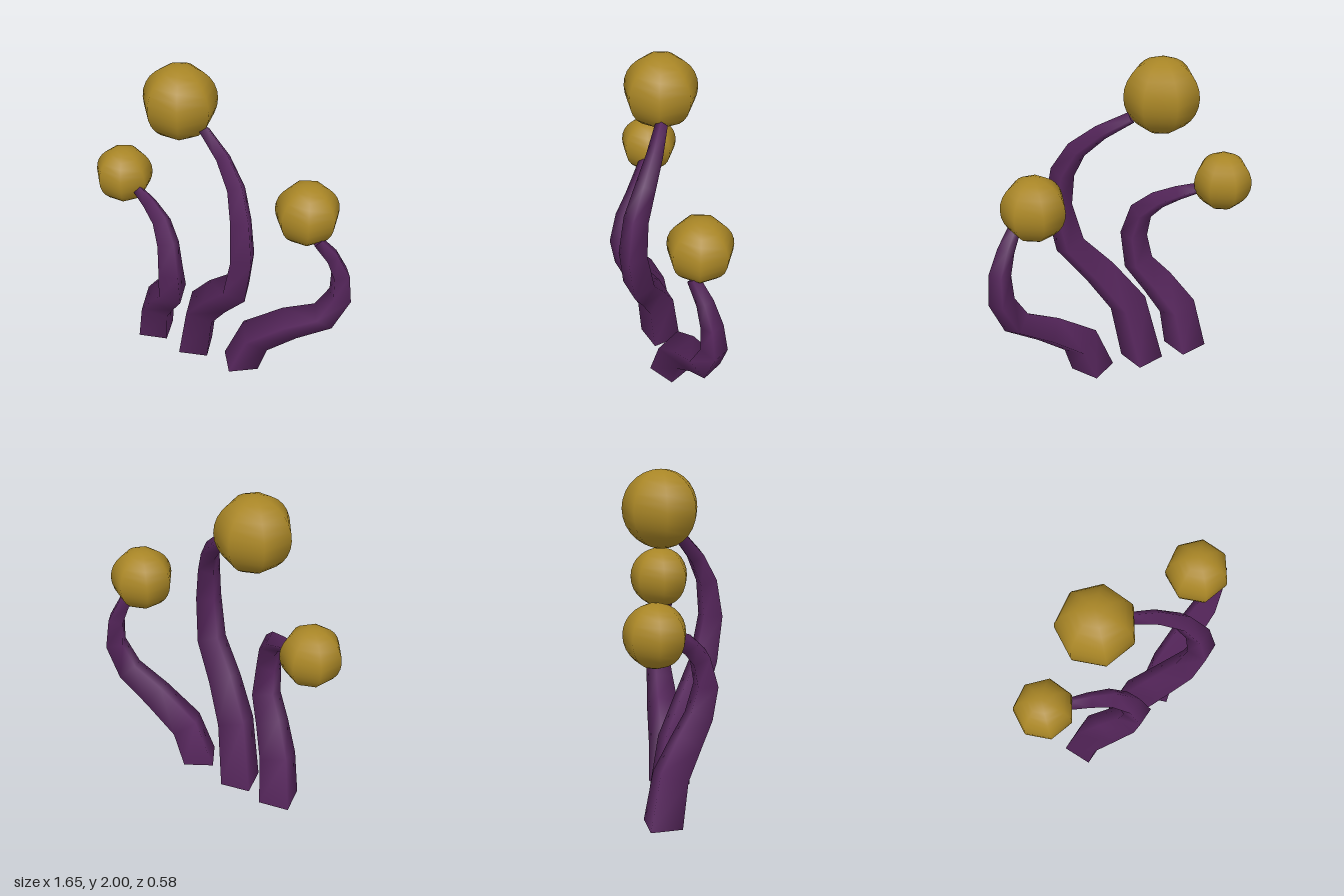
import * as THREE from 'three';

const stalkMat = new THREE.MeshStandardMaterial({ color: 0x56265c });
stalkMat.name = 'purple stalk';
const bulbMat = new THREE.MeshStandardMaterial({ color: 0xa98626 });
bulbMat.name = 'ochre bulb';

// Path points run from base to tip; turn is the direction the wide base face looks.
const SPROUTS = [
  {
    name: 'tall', turn: 18, bulb: [-0.255, 1.785, -0.05], r: 0.215,
    path: [[-0.167, 0.005, -0.03], [-0.09, 0.4, 0.02], [0.06, 0.61, 0.1], [0.225, 0.8, 0.175], [0.28, 1.07, 0.215],
      [0.255, 1.29, 0.19], [0.19, 1.45, 0.125], [0.07, 1.57, 0.05], [-0.085, 1.665, -0.02]],
  },
  {
    name: 'right', turn: 17, bulb: [-0.66, 1.18, -0.055], r: 0.173,
    path: [[-0.465, 0.025, -0.03], [-0.42, 0.3, 0.01], [-0.315, 0.46, 0.09], [-0.215, 0.59, 0.16], [-0.198, 0.775, 0.2],
      [-0.23, 0.945, 0.165], [-0.31, 1.04, 0.1], [-0.42, 1.095, 0.045], [-0.525, 1.13, 0]],
  },
  {
    name: 'left', turn: 36, bulb: [0.52, 1.255, -0.108], r: 0.186,
    path: [[0.165, 0.015, -0.03], [0.25, 0.25, -0.05], [0.46, 0.415, -0.09], [0.66, 0.535, -0.12], [0.745, 0.715, -0.145],
      [0.74, 0.885, -0.13], [0.69, 1.015, -0.1], [0.615, 1.13, -0.05]],
  },
];

// Tapered four-sided tube swept along the path, closed at both ends.
function stalkGeometry(path, turn) {
  const pts = path.map((p) => new THREE.Vector3(...p));
  const last = pts.length - 1;
  const a = THREE.MathUtils.degToRad(turn);
  const tangent = new THREE.Vector3(0, 1, 0);
  const normal = new THREE.Vector3(Math.sin(a), 0, Math.cos(a));
  const position = [];
  const index = [];
  pts.forEach((p, i) => {
    if (i > 0) {
      const before = pts[i].clone().sub(pts[i - 1]).normalize();
      const next = i < last ? pts[i + 1].clone().sub(pts[i]).normalize() : before;
      const t = before.clone().add(next).normalize();
      normal.applyQuaternion(new THREE.Quaternion().setFromUnitVectors(tangent, t));
      tangent.copy(t);
    }
    const side = tangent.clone().cross(normal);
    const r = THREE.MathUtils.lerp(0.13, 0.036, i / last);
    for (let k = 0; k < 4; k++) {
      const th = Math.PI / 4 + k * Math.PI / 2;
      const v = p.clone().addScaledVector(normal, r * Math.cos(th)).addScaledVector(side, r * Math.sin(th));
      position.push(v.x, v.y, v.z);
      if (i < last) {
        const b = i * 4 + k;
        const c = i * 4 + (k + 1) % 4;
        index.push(b, c, c + 4, b, c + 4, b + 4);
      }
    }
  });
  // End caps use their own corners so their edges stay sharp
  for (const ring of [0, last]) {
    const s = position.length / 3;
    position.push(...position.slice(ring * 12, ring * 12 + 12));
    if (ring === 0) index.push(s, s + 2, s + 1, s, s + 3, s + 2);
    else index.push(s, s + 1, s + 2, s, s + 2, s + 3);
  }
  const g = new THREE.BufferGeometry();
  g.setAttribute('position', new THREE.Float32BufferAttribute(position, 3));
  g.setIndex(index);
  g.computeVertexNormals();
  return g;
}

export function createModel() {
  const model = new THREE.Group();
  model.name = 'bulb sprouts';
  for (const s of SPROUTS) {
    const sprout = new THREE.Group();
    sprout.name = s.name + 'Sprout';

    const stalk = new THREE.Mesh(stalkGeometry(s.path, s.turn), stalkMat);
    stalk.name = s.name + 'Stalk';

    // Seven-sided ball with one corner line at the back
    const bulb = new THREE.Mesh(new THREE.SphereGeometry(s.r, 7, 14, -Math.PI / 2), bulbMat);
    bulb.name = s.name + 'Bulb';
    bulb.position.set(...s.bulb);

    sprout.add(stalk, bulb);
    model.add(sprout);
  }
  return model;
}
